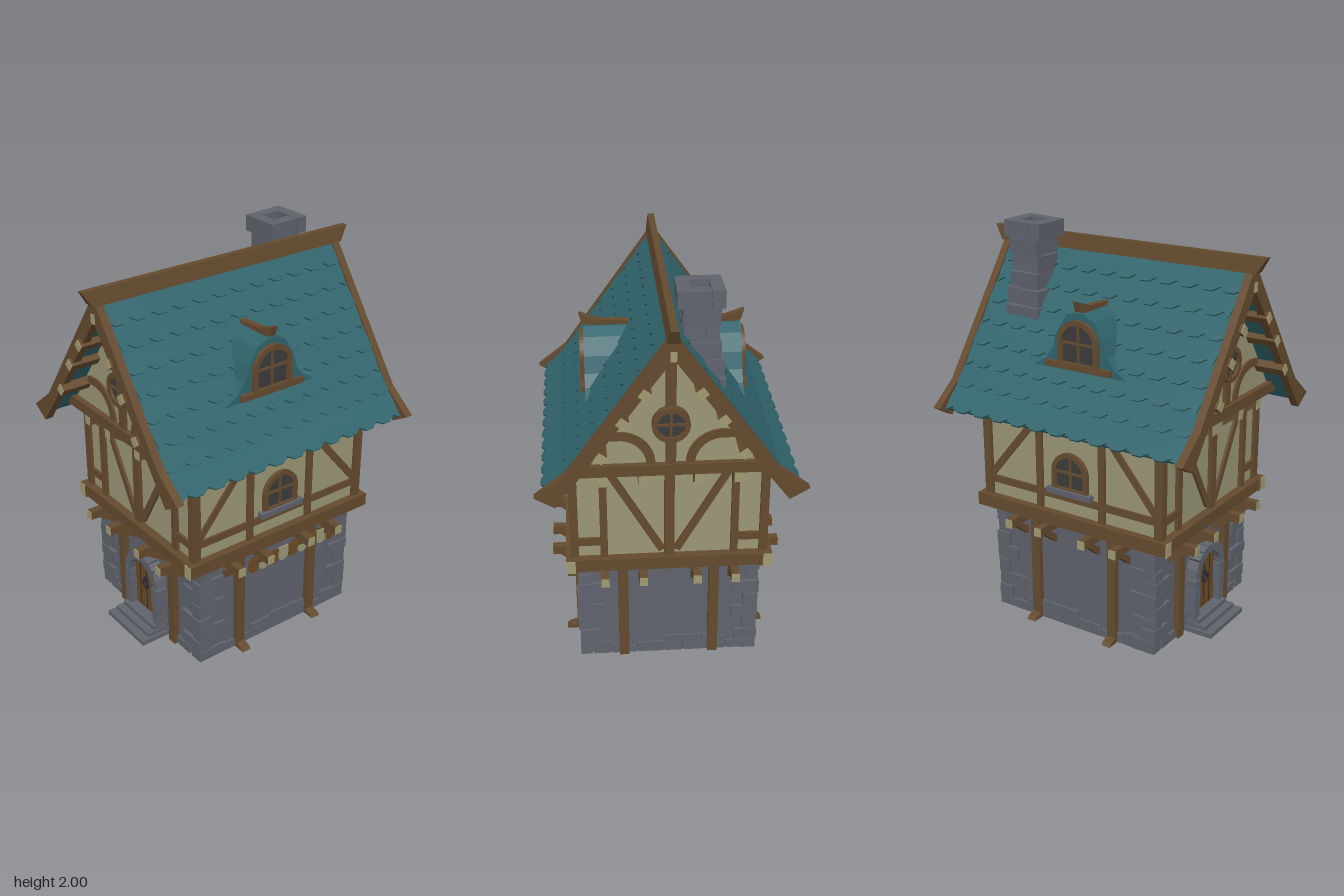
import * as THREE from 'three';

const mat = (name, hex) => {
  const m = new THREE.MeshStandardMaterial({ color: hex });
  m.name = name;
  return m;
};
const M = {
  stone: mat('stone', 0x5f626c), plaster: mat('plaster', 0x9a9676), wood: mat('timber', 0x644a2e),
  roof: mat('roof tile', 0x31646c), glass: mat('dark glass', 0x3c3a3a), door: mat('door wood', 0x6b4a24),
  iron: mat('iron', 0x2c2d32), cut: mat('cut timber end', 0xa09a72),
};
let seed = 7;
const rnd = (a = 0, b = 1) => {
  seed = (seed * 16807) % 2147483647;
  return a + (b - a) * seed / 2147483647;
};

function add(parent, name, geo, m, x = 0, y = 0, z = 0) {
  const mesh = new THREE.Mesh(geo, m);
  mesh.name = name;
  mesh.position.set(x, y, z);
  parent.add(mesh);
  return mesh;
}
// Box given by its extents on each axis
const box = (p, name, m, x0, x1, y0, y1, z0, z1) =>
  add(p, name, new THREE.BoxGeometry(x1 - x0, y1 - y0, z1 - z0), m, (x0 + x1) / 2, (y0 + y1) / 2, (z0 + z1) / 2);
const group = (p, name, ry = 0) => {
  const g = new THREE.Group();
  g.name = name;
  g.rotation.y = ry;
  p.add(g);
  return g;
};
const poly = pts => new THREE.Shape(pts.map(p => new THREE.Vector2(p[0], p[1])));
const extrude = (p, name, m, shape, z0, z1) =>
  add(p, name, new THREE.ExtrudeGeometry(shape, { depth: z1 - z0, bevelEnabled: false, curveSegments: 10 }), m, 0, 0, z0);
// Straight timber between two points of a facade
function timber(p, name, a, b, w, z0, z1) {
  const dx = b[0] - a[0], dy = b[1] - a[1];
  const t = box(p, name, M.wood, -Math.hypot(dx, dy) / 2, Math.hypot(dx, dy) / 2, -w / 2, w / 2, z0, z1);
  t.position.set((a[0] + b[0]) / 2, (a[1] + b[1]) / 2, (z0 + z1) / 2);
  t.rotation.z = Math.atan2(dy, dx);
}
function arch(r, y0, yc, S = THREE.Shape) {
  const s = new S();
  s.moveTo(-r, y0);
  s.lineTo(r, y0);
  s.lineTo(r, yc);
  s.absarc(0, yc, r, 0, Math.PI, false);
  s.lineTo(-r, y0);
  return s;
}
function archWindow(p, r, y0, yc, z) {
  const g = group(p, 'archedWindow'), frame = arch(r, y0, yc);
  frame.holes.push(arch(r - 0.025, y0 + 0.02, yc, THREE.Path));
  extrude(g, 'windowFrame', M.wood, frame, z, z + 0.022);
  extrude(g, 'windowGlass', M.glass, arch(r - 0.02, y0 + 0.01, yc), z, z + 0.006);
  box(g, 'mullion', M.wood, -0.006, 0.006, y0, yc + r - 0.01, z, z + 0.014);
  box(g, 'glazingBar', M.wood, -r + 0.01, r - 0.01, yc - 0.006, yc + 0.006, z, z + 0.014);
}
// Projecting joist with a pale cut end and a slanting bracket under it
function joist(p, x, y0, y1, z0, z1, drop) {
  const g = group(p, 'joist');
  box(g, 'joistBeam', M.wood, x - 0.02, x + 0.02, y0, y1, z0, z1);
  box(g, 'joistEnd', M.cut, x - 0.02, x + 0.02, y0, y1, z1, z1 + 0.004);
  const reach = (z1 - z0) * 0.75;
  const s = poly([[z0, y0 - drop], [z0 + 0.015, y0 - drop], [z0 + reach, y0], [z0 + reach - 0.045, y0], [z0, y0 - drop + 0.035]]);
  const b = extrude(g, 'joistBracket', M.wood, s, 0, 0.036);
  b.rotation.y = -Math.PI / 2;
  b.position.x = x + 0.018;
}

// Stone storey: hollow walls, corner stones and a rubble base course
function stoneStorey(p) {
  const g = group(p, 'stoneStorey');
  for (const s of [-1, 1]) {
    add(g, 'stoneWall', new THREE.BoxGeometry(0.86, 0.57, 0.05), M.stone, 0, 0.285, s * 0.44);
    add(g, 'stoneWall', new THREE.BoxGeometry(0.05, 0.57, 0.86), M.stone, s * 0.41, 0.285, 0);
    for (const t of [-1, 1]) {
      for (let y = 0, i = 0; y < 0.55; i++) {
        const h = Math.min(rnd(0.05, 0.085), 0.57 - y);
        const lx = i % 2 ? rnd(0.1, 0.15) : rnd(0.05, 0.08), lz = i % 2 ? rnd(0.06, 0.09) : rnd(0.12, 0.17);
        const ox = 0.445 + rnd(0, 0.01), oz = 0.475 + rnd(0, 0.012);
        add(g, 'cornerStone', new THREE.BoxGeometry(lx, h - 0.004, lz), M.stone,
          s * (ox - lx / 2), y + h / 2, t * (oz - lz / 2));
        y += h;
      }
    }
    for (let a = -0.38; a < 0.36;) {
      const w = rnd(0.05, 0.1), h = rnd(0.04, 0.1);
      add(g, 'baseStone', new THREE.BoxGeometry(w - 0.004, h, 0.05), M.stone, a + w / 2, h / 2, s * 0.452);
      add(g, 'baseStone', new THREE.BoxGeometry(0.05, h, w - 0.004), M.stone, s * 0.422, h / 2, a + w / 2);
      a += w;
    }
  }
  box(g, 'ceiling', M.stone, -0.41, 0.41, 0.545, 0.565, -0.44, 0.44);
  for (const x of [-0.31, -0.13, 0.13, 0.31]) box(g, 'ceilingBeam', M.wood, x - 0.02, x + 0.02, 0.51, 0.55, -0.42, 0.42);
}

// Gable-end timberwork, facing local +z
function gableFacade(p, ry) {
  const g = group(p, 'gableFacade', ry);
  for (const s of [-1, 1]) {
    box(g, 'lowerPost', M.wood, s * 0.225 - 0.025, s * 0.225 + 0.025, 0, 0.57, 0.45, 0.495);
    for (const x of [0.13, 0.315]) {
      joist(g, s * x, 0.525, 0.57, 0.455, 0.625, 0.075);
      joist(g, s * x, 1.075, 1.13, 0.5, 0.6, 0.045);
    }
    box(g, 'cornerPost', M.wood, s * 0.457 - 0.02, s * 0.457 + 0.02, 0.63, 1.14, 0.485, 0.53);
    box(g, 'wallPost', M.wood, s * 0.315 - 0.018, s * 0.315 + 0.018, 0.63, 1.14, 0.5, 0.53);
    box(g, 'lowRail', M.wood, s * 0.385 - 0.06, s * 0.385 + 0.06, 0.7, 0.74, 0.5, 0.525);
    timber(g, 'diagonalBrace', [s * 0.285, 1.1], [s * 0.035, 0.66], 0.036, 0.5, 0.524);
    const c = new THREE.Shape();
    c.moveTo(0.17, 0);
    c.absarc(0, 0, 0.17, 0, Math.PI / 2, false);
    c.lineTo(-0.06, 0.165);
    c.lineTo(-0.08, 0.128);
    c.lineTo(0, 0.128);
    c.absarc(0, 0, 0.128, Math.PI / 2, 0, true);
    const brace = extrude(g, 'curvedBrace', M.wood, c, 0, 0.022);
    brace.position.set(s * 0.24, 1.18, s < 0 ? 0.57 : 0.592);
    brace.rotation.y = s < 0 ? 0 : Math.PI;
    // Purlin stubs between gable and bargeboard
    for (const [x, y] of [[0.125, 1.605], [0.225, 1.47], [0.325, 1.3]]) {
      const q = box(g, 'purlin', M.wood, -0.022, 0.022, -0.022, 0.022, 0.55, 0.733);
      const e = box(g, 'purlinEnd', M.cut, -0.022, 0.022, -0.022, 0.022, 0.733, 0.737);
      for (const m of [q, e]) {
        m.position.x = s * x;
        m.position.y = y;
        m.rotation.z = -s * 0.94;
      }
    }
    const board = [[0, 1.885], [0.48, 1.215], [0.628, 1.1], [0.535, 1.045], [0.42, 1.195], [0, 1.765]];
    const pts = board.map(q => [s * q[0], q[1]]);
    extrude(g, 'bargeboard', M.wood, poly(pts), 0.68, 0.72);
  }
  box(g, 'centrePost', M.wood, -0.024, 0.024, 0.63, 1.14, 0.5, 0.532);
  box(g, 'gablePost', M.wood, -0.024, 0.024, 1.17, 1.78, 0.57, 0.598);
  box(g, 'floorBeam', M.wood, -0.457, 0.457, 0.57, 0.635, 0.5, 0.555);
  box(g, 'gableBeam', M.wood, -0.48, 0.48, 1.13, 1.185, 0.5, 0.61);
  box(g, 'ridgePurlinEnd', M.cut, -0.014, 0.014, 1.755, 1.8, 0.7, 0.725);
  const rim = new THREE.Shape().absarc(0, 1.39, 0.088, 0, Math.PI * 2, false);
  rim.holes.push(new THREE.Path().absarc(0, 1.39, 0.064, 0, Math.PI * 2, true));
  extrude(g, 'roundWindowFrame', M.wood, rim, 0.575, 0.618);
  extrude(g, 'roundWindowGlass', M.glass, new THREE.Shape().absarc(0, 1.39, 0.068, 0, Math.PI * 2, false), 0.598, 0.604);
  box(g, 'windowBar', M.wood, -0.006, 0.006, 1.325, 1.455, 0.6, 0.612);
  box(g, 'windowBar', M.wood, -0.065, 0.065, 1.384, 1.396, 0.6, 0.612);
}

// Long-side timberwork, window, dormer and roof slope, facing local +z
function sideFacade(p, ry) {
  const g = group(p, 'sideFacade', ry);
  for (const s of [-1, 1]) {
    box(g, 'lowerPost', M.wood, s * 0.232 - 0.025, s * 0.232 + 0.025, 0, 0.57, 0.42, 0.462);
    const foot = extrude(g, 'postFoot', M.wood, poly([[0.43, 0], [0.515, 0], [0.5, 0.015], [0.45, 0.03], [0.43, 0.03]]), 0, 0.05);
    foot.rotation.y = -Math.PI / 2;
    foot.position.x = s * 0.232 + 0.025;
    for (const x of [0.13, 0.31]) joist(g, s * x, 0.525, 0.57, 0.425, 0.568, 0.075);
    box(g, 'cornerPost', M.wood, s * 0.51 - 0.02, s * 0.51 + 0.02, 0.63, 1.16, 0.44, 0.478);
    box(g, 'wallPost', M.wood, s * 0.185 - 0.018, s * 0.185 + 0.018, 0.63, 1.16, 0.44, 0.475);
    timber(g, 'diagonalBrace', [s * 0.2, 1.1], [s * 0.49, 0.75], 0.036, 0.44, 0.47);
    box(g, 'beamEnd', M.cut, s * 0.565 - 0.003, s * 0.565 + 0.003, 0.57, 0.638, 0.455, 0.5);
  }
  box(g, 'lowRail', M.wood, -0.5, 0.5, 0.705, 0.742, 0.44, 0.472);
  box(g, 'floorBeam', M.wood, -0.564, 0.564, 0.57, 0.638, 0.44, 0.5);
  archWindow(g, 0.105, 0.755, 0.855, 0.458);
  box(g, 'windowSill', M.stone, -0.13, 0.13, 0.74, 0.768, 0.45, 0.495);

  // Dormer with bell-shaped hood
  const d = group(g, 'dormer');
  const half = [[0.27, 1.345], [0.2, 1.385], [0.158, 1.44], [0.132, 1.52], [0.085, 1.6], [0.03, 1.632]];
  const bell = [...half, ...half.map(q => [-q[0], q[1]]).reverse()];
  extrude(d, 'dormerHood', M.roof, poly(bell), 0.12, 0.38);
  archWindow(d, 0.115, 1.37, 1.485, 0.378);
  box(d, 'dormerSill', M.wood, -0.185, 0.185, 1.355, 1.385, 0.36, 0.402);
  const ridge = poly([[0.15, 1.615], [0.3, 1.62], [0.385, 1.64], [0.4, 1.692], [0.31, 1.66], [0.15, 1.65]]);
  const r = extrude(d, 'dormerRidge', M.wood, ridge, 0, 0.034);
  r.rotation.y = -Math.PI / 2;
  r.position.x = 0.017;

  // Overlapping tile courses with notched lower edges
  const path = [[0, 1.85], [0.48, 1.19], [0.58, 1.092]];
  const at = t => {
    const i = t <= 1 ? 0 : 1, k = t - i;
    return [path[i][0] + (path[i + 1][0] - path[i][0]) * k, path[i][1] + (path[i + 1][1] - path[i][1]) * k];
  };
  const stops = [0, 0.143, 0.286, 0.429, 0.572, 0.715, 0.858, 1, 2], w = 1.38 / 12;
  for (let i = 0; i < stops.length - 1; i++) {
    const a = at(stops[i]), b = at(stops[i + 1]);
    const up = new THREE.Vector3(0, a[1] - b[1], a[0] - b[0] - 0.012).normalize();
    const n = new THREE.Vector3(1, 0, 0).cross(up);
    const len = Math.hypot(a[0] - b[0], a[1] - b[1]) + 0.01;
    const pts = [[-0.69, len]];
    for (let j = 0; j < 13; j++) {
      for (const [f, y] of [[0, 0.012], [0.3, -0.012], [0.7, -0.012], [1, 0.012]]) {
        const x = -0.69 + (j + f - (i % 2) / 2) * w;
        if (x >= -0.691 && x <= 0.691) pts.push([x, y]);
      }
    }
    pts.push([0.69, len]);
    const row = extrude(g, 'tileCourse', M.roof, poly(pts), 0, 0.012);
    row.quaternion.setFromRotationMatrix(new THREE.Matrix4().makeBasis(new THREE.Vector3(1, 0, 0), up, n));
    row.position.set(0, b[1] + n.y * 0.004, b[0] + n.z * 0.004);
  }
}

function doorway(p) {
  const g = group(p, 'doorway');
  extrude(g, 'door', M.door, arch(0.105, 0.06, 0.285), 0.46, 0.49);
  for (const x of [-0.055, 0, 0.055]) box(g, 'plankGap', M.iron, x - 0.003, x + 0.003, 0.07, 0.37, 0.489, 0.492);
  add(g, 'doorRing', new THREE.TorusGeometry(0.022, 0.006, 6, 12), M.iron, 0, 0.235, 0.498);
  box(g, 'ringPlate', M.iron, -0.012, 0.012, 0.25, 0.274, 0.488, 0.502);
  for (let i = 0; i < 9; i++) {
    const t = Math.PI * (i + 0.5) / 9;
    const v = add(g, 'archStone', new THREE.BoxGeometry(0.04 + rnd(0, 0.01), 0.043, 0.07), M.stone,
      Math.cos(t) * 0.123, 0.285 + Math.sin(t) * 0.123, 0.493);
    v.rotation.z = t;
  }
  for (const s of [-1, 1]) for (let i = 0; i < 5; i++)
    add(g, 'jambStone', new THREE.BoxGeometry(0.04 + rnd(0, 0.015), 0.053, 0.07), M.stone, s * 0.123, 0.028 + i * 0.056, 0.493);
  [[0.165, 0.024, 0.632], [0.15, 0.046, 0.59], [0.14, 0.068, 0.55]].forEach(([x, y, z]) =>
    box(g, 'doorStep', M.stone, -x, x, y - 0.024, y, 0.46, z));
}

// Leaning chimney of pinwheel stone rings
function chimney(p) {
  const g = group(p, 'chimney');
  const rings = [[-0.15, 0.1], [-0.15, 0.096], [-0.145, 0.082], [-0.14, 0.08], [-0.14, 0.086], [-0.134, 0.105]];
  rings.forEach(([cx, h], i) => {
    const ring = group(g, 'chimneyRing', (i % 2) * Math.PI / 2);
    ring.position.set(cx, 1.5 + i * 0.083, -0.44);
    ring.rotation.z = i === 5 ? 0.03 : 0.05;
    for (let k = 0; k < 4; k++) {
      const side = group(ring, 'chimneySide', k * Math.PI / 2), o = h + rnd(-0.004, 0.004);
      box(side, 'chimneyStone', M.stone, -h, h - 0.06, 0, 0.081, o - 0.06, o);
    }
  });
}

export function createModel() {
  const model = new THREE.Group();
  model.name = 'timberHouse';
  stoneStorey(model);
  box(model, 'upperWalls', M.plaster, -0.46, 0.46, 0.572, 1.16, -0.51, 0.51);
  extrude(model, 'gableWalls', M.plaster, poly([[-0.44, 1.14], [0.44, 1.14], [0.44, 1.18], [0, 1.8], [-0.44, 1.18]]), -0.58, 0.58);
  const top = [[0.575, 1.095], [0.48, 1.192], [0, 1.852]], low = [[0, 1.8], [0.452, 1.17], [0.55, 1.075]];
  const flip = a => a.map(q => [-q[0], q[1]]).reverse();
  extrude(model, 'roofDeck', M.roof, poly([...top, ...flip(top).slice(1), ...flip(low), ...low.slice(1)]), -0.685, 0.685);
  for (const ry of [0, Math.PI]) gableFacade(model, ry);
  for (const ry of [Math.PI / 2, -Math.PI / 2]) sideFacade(model, ry);
  // Ridge beam, longer and narrower on top
  const ridge = add(model, 'ridgeBeam', new THREE.BoxGeometry(0.06, 0.075, 1.56), M.wood, 0, 1.882, 0);
  const pos = ridge.geometry.attributes.position;
  for (let i = 0; i < pos.count; i++) {
    if (pos.getY(i) > 0) pos.setX(i, pos.getX(i) * 0.55);
    else pos.setZ(i, pos.getZ(i) * 0.94);
  }
  ridge.geometry.computeVertexNormals();
  doorway(model);
  chimney(model);
  // Scalloped cloth valance under the left-side joists
  const valance = group(model, 'valance', Math.PI / 2);
  for (let i = 0; i < 9; i++) {
    const s = new THREE.Shape(), x = -0.2 + i * 0.063;
    s.moveTo(x, 0.52);
    s.lineTo(x, 0.47);
    s.absarc(x + 0.0315, 0.47, 0.0315, Math.PI, Math.PI * 2, false);
    s.lineTo(x + 0.063, 0.52);
    extrude(valance, 'scallop', i % 2 ? M.plaster : M.door, s, 0.478, 0.485);
  }
  return model;
}
